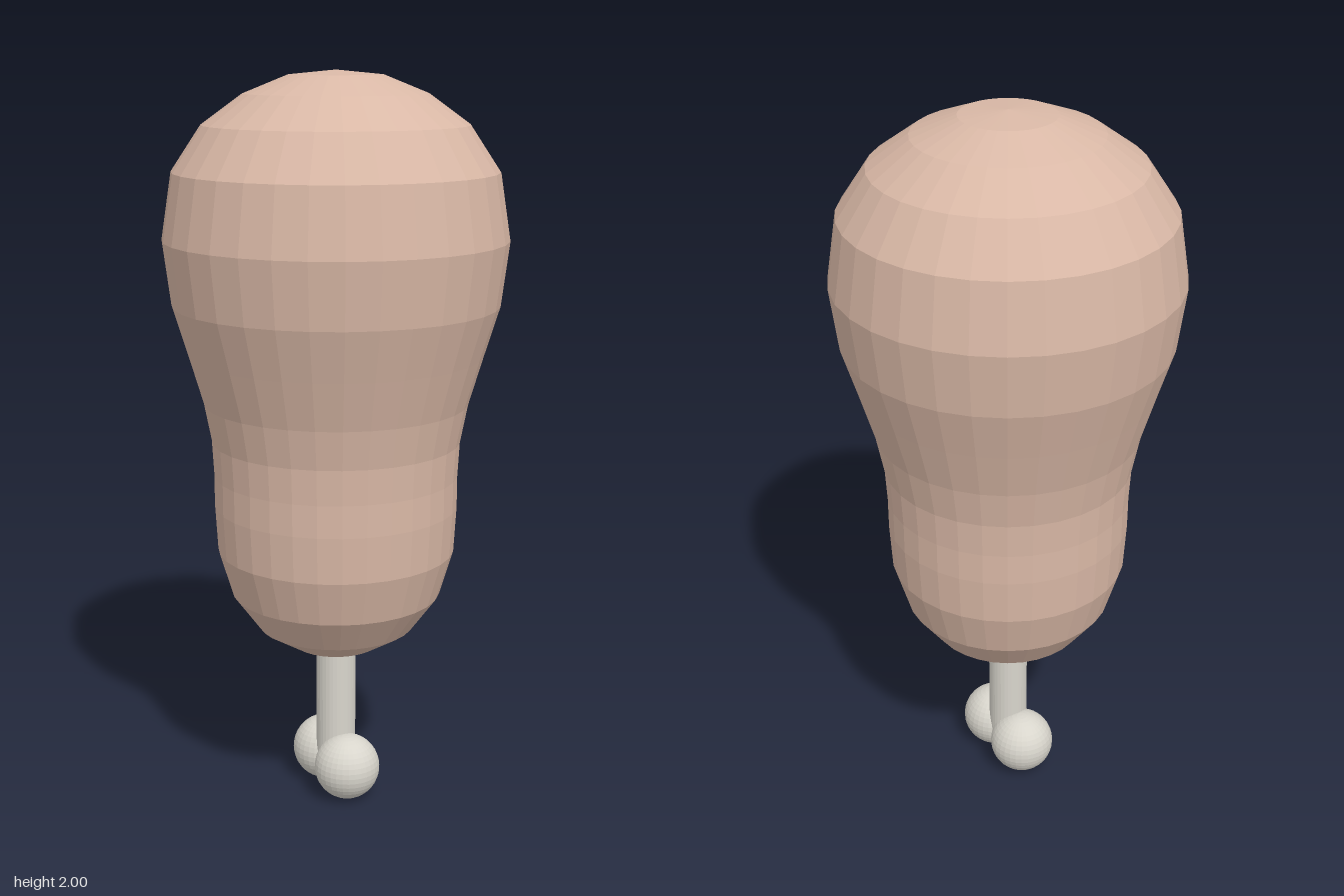
import * as THREE from 'three';

export function createModel() {
  const group = new THREE.Group();
  const meatMaterial = new THREE.MeshStandardMaterial({ color: 0xd9b8a6, flatShading: true });
  const boneMaterial = new THREE.MeshStandardMaterial({ color: 0xd8d5cc, flatShading: true });

  const add = (name, geometry, material, y, z = 0) => {
    const mesh = new THREE.Mesh(geometry, material);
    mesh.name = name;
    mesh.position.set(0, y, z);
    group.add(mesh);
  };

  // Faceted meat body: profile of [radius, height] from bottom to top
  const profile = [
    [0, 0.42], [0.05, 0.423], [0.12, 0.445], [0.215, 0.503], [0.286, 0.6],
    [0.323, 0.725], [0.33, 0.85], [0.33, 0.936], [0.335, 1.03], [0.355, 1.135],
    [0.393, 1.265], [0.434, 1.4], [0.455, 1.57], [0.427, 1.745],
    [0.348, 1.863], [0.24, 1.941], [0.123, 1.988], [0, 2],
  ].map(([r, y]) => new THREE.Vector2(r, y));
  add('meat', new THREE.LatheGeometry(profile, 32), meatMaterial, 0);

  // Bone shaft, running up into the meat
  add('boneShaft', new THREE.CylinderGeometry(0.055, 0.055, 0.4, 32), boneMaterial, 0.3);

  // Two knuckles at the end of the bone
  for (const [name, side] of [['frontKnuckle', 1], ['backKnuckle', -1]]) {
    add(name, new THREE.SphereGeometry(0.091, 32, 20), boneMaterial, 0.096, side * 0.073);
  }

  return group;
}
